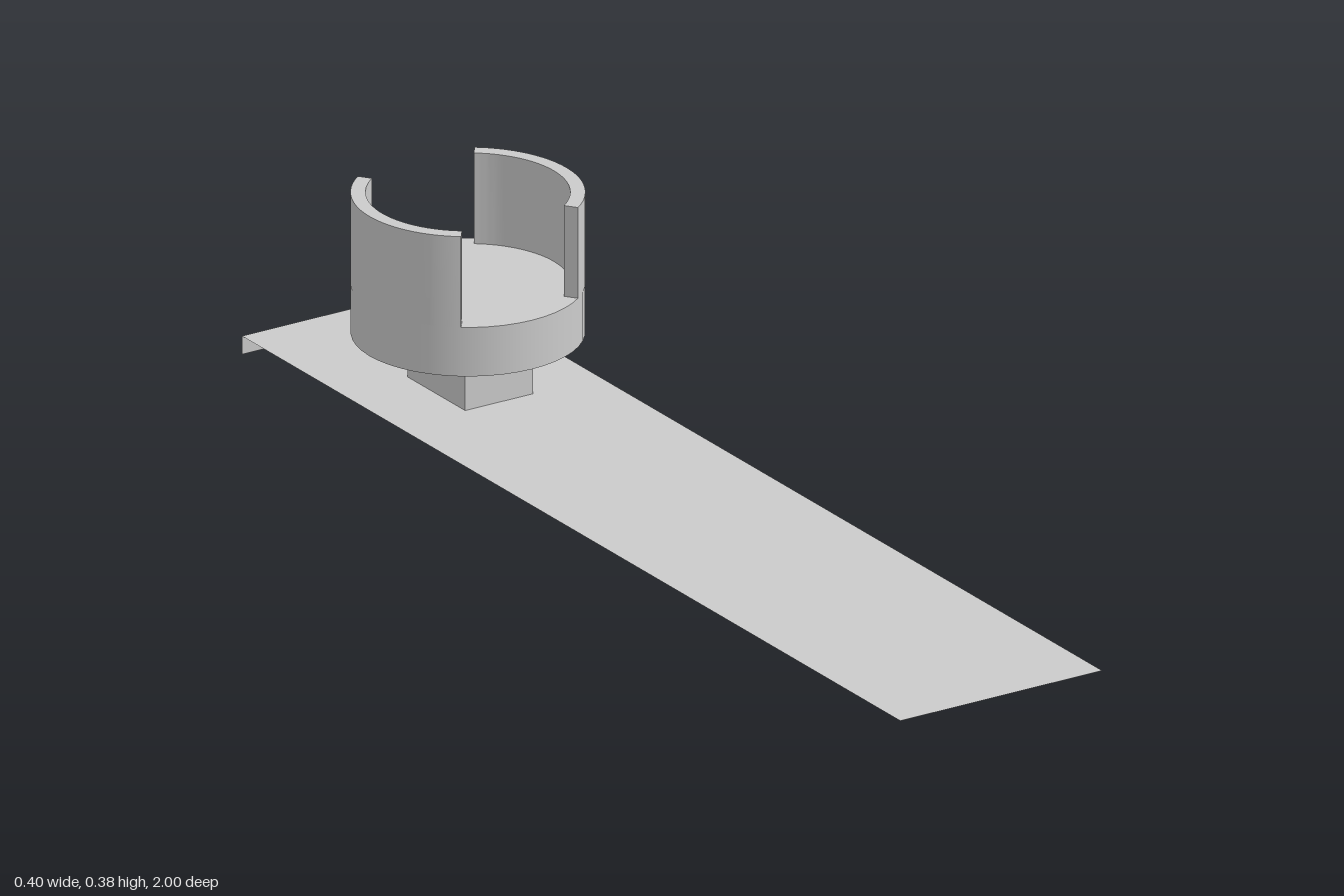
import * as THREE from 'three';
import { toCreasedNormals } from 'three/addons/utils/BufferGeometryUtils.js';

const material = new THREE.MeshStandardMaterial({ color: 0xcccccc, side: THREE.DoubleSide });

function add(parent, name, geometry, x = 0, y = 0, z = 0) {
  const mesh = new THREE.Mesh(geometry, material);
  mesh.name = name;
  mesh.position.set(x, y, z);
  parent.add(mesh);
  return mesh;
}

// Curved wall: a ring sector centred on +x, rising from y = 0
function curvedWall(inner, outer, halfAngle, height) {
  const shape = new THREE.Shape();
  shape.absarc(0, 0, outer, -halfAngle, halfAngle, false);
  shape.absarc(0, 0, inner, halfAngle, -halfAngle, true);
  shape.closePath();
  const geometry = new THREE.ExtrudeGeometry(shape, { depth: height, bevelEnabled: false, curveSegments: 24 });
  geometry.rotateX(-Math.PI / 2);
  return toCreasedNormals(geometry, 0.5);
}

export function createModel() {
  const model = new THREE.Group();
  model.name = 'cupHolderOnStrip';

  // Thin strip with a lip folded down at the back end
  const plateY = 0.033;
  add(model, 'strip', new THREE.PlaneGeometry(0.4, 2).rotateX(-Math.PI / 2), 0, plateY, 0);
  add(model, 'backLip', new THREE.PlaneGeometry(0.4, plateY).rotateY(Math.PI), 0, plateY / 2, -1);

  // Square post, open underneath, poking slightly through the strip
  const postBottom = 0.02, baseBottom = 0.127, baseTop = 0.215, wallTop = 0.378;
  const postHeight = baseBottom - postBottom;
  const post = new THREE.Group();
  post.name = 'post';
  post.position.set(0, postBottom, -0.613);
  model.add(post);
  for (const side of [-1, 1]) {
    add(post, 'postSide', new THREE.PlaneGeometry(0.175, postHeight).rotateY(side * Math.PI / 2), side * 0.067, postHeight / 2, 0);
    add(post, 'postEnd', new THREE.PlaneGeometry(0.134, postHeight).rotateY(side > 0 ? 0 : Math.PI), 0, postHeight / 2, side * 0.0875);
  }
  add(post, 'postTop', new THREE.PlaneGeometry(0.134, 0.175).rotateX(-Math.PI / 2), 0, postHeight, 0);

  // Round holder: hollow base, flat floor and two facing curved walls
  const holder = new THREE.Group();
  holder.name = 'holder';
  holder.position.z = -0.62;
  model.add(holder);
  const radius = 0.195, baseHeight = baseTop - baseBottom;
  add(holder, 'baseRim', new THREE.CylinderGeometry(radius, radius, baseHeight, 48, 1, true), 0, baseBottom + baseHeight / 2, 0);
  add(holder, 'floor', new THREE.CircleGeometry(radius, 48).rotateX(-Math.PI / 2), 0, baseTop, 0);

  const wall = curvedWall(0.17, radius, 0.935, wallTop - baseTop);
  add(holder, 'leftWall', wall, 0, baseTop, 0);
  add(holder, 'rightWall', wall, 0, baseTop, 0).rotation.y = Math.PI;

  return model;
}
